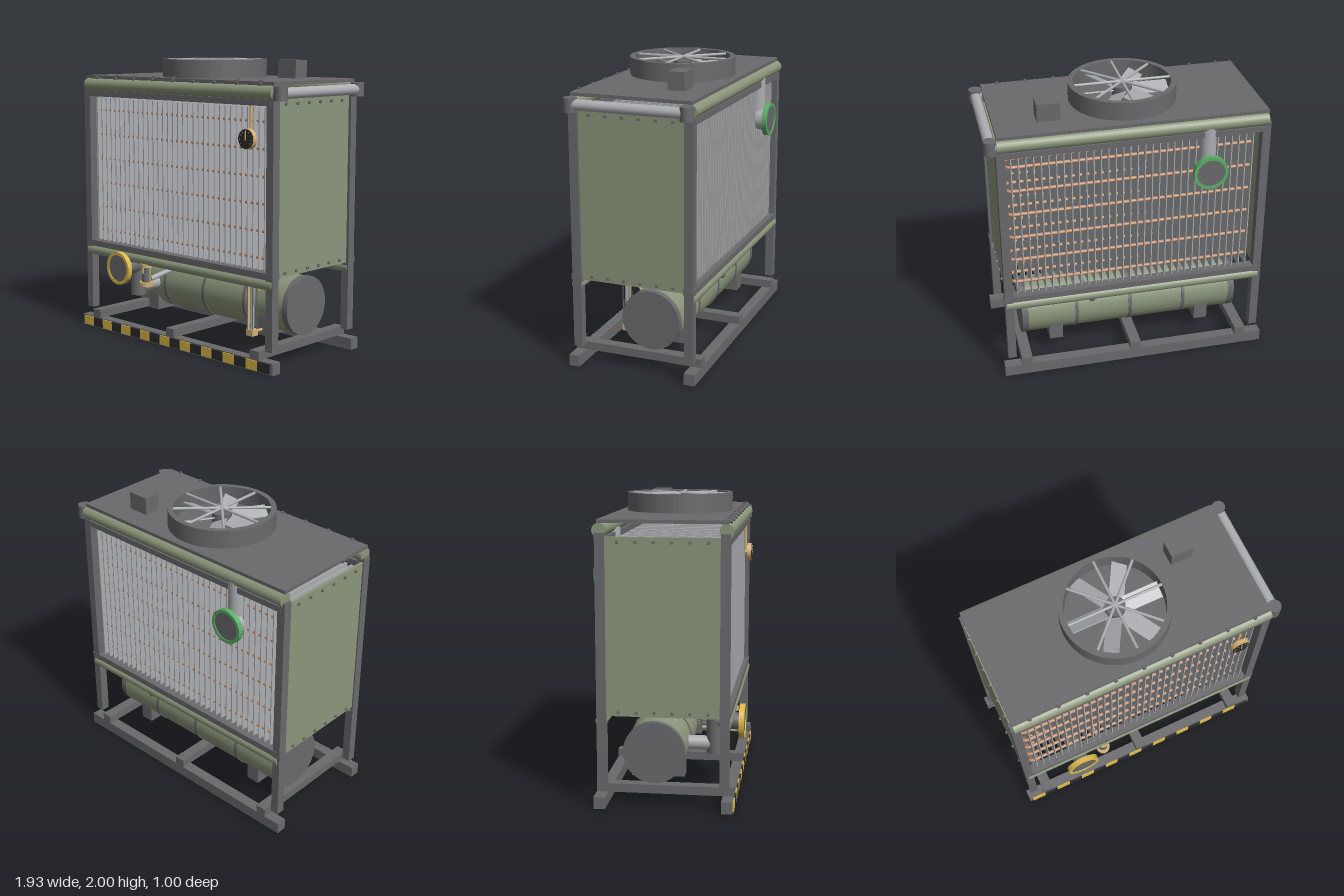
import * as THREE from 'three';

const mat = (name, color) => Object.assign(new THREE.MeshStandardMaterial({ color }), { name });
const steel = mat('dark steel', 0x6a6a6d);
const green = mat('olive green', 0x8b967b);
const zinc = mat('light grey metal', 0xacaeb2);
const copper = mat('copper', 0xc68e68);
const brass = mat('brass', 0xd2b274);
const yellow = mat('safety yellow', 0xdcba48);
const black = mat('black', 0x2d2d2e);
const valveGreen = mat('valve green', 0x5cac66);

const CX = -0.027; // middle of the cabinet along x

export function createModel() {
  const root = new THREE.Group();
  root.name = 'evaporativeCooler';

  const add = (name, geo, material, parent = root) => {
    const m = new THREE.Mesh(geo, material);
    m.name = name;
    parent.add(m);
    return m;
  };
  // box given by its limits
  const box = (name, material, x0, x1, y0, y1, z0, z1, parent) => {
    const m = add(name, new THREE.BoxGeometry(x1 - x0, y1 - y0, z1 - z0), material, parent);
    m.position.set((x0 + x1) / 2, (y0 + y1) / 2, (z0 + z1) / 2);
    return m;
  };
  // round bar from point a to point b
  const rod = (name, material, a, b, r, seg = 24, parent) => {
    const A = new THREE.Vector3(...a), B = new THREE.Vector3(...b);
    const d = B.clone().sub(A);
    const m = add(name, new THREE.CylinderGeometry(r, r, d.length(), seg), material, parent);
    m.position.copy(A).add(B).multiplyScalar(0.5);
    m.quaternion.setFromUnitVectors(new THREE.Vector3(0, 1, 0), d.normalize());
    return m;
  };
  // flat-sided ring, axis along z
  const ring = (ro, ri, depth) => {
    const s = new THREE.Shape().absarc(0, 0, ro, 0, Math.PI * 2);
    s.holes.push(new THREE.Path().absarc(0, 0, ri, 0, Math.PI * 2, true));
    return new THREE.ExtrudeGeometry(s, { depth, bevelEnabled: false, curveSegments: 32 });
  };

  // Skid
  box('frontSkidRail', steel, -0.97, 0.92, 0, 0.08, 0.38, 0.453);
  box('backSkidRail', steel, -0.97, 0.92, 0, 0.08, -0.45, -0.375);
  for (const x of [-0.812, CX, 0.762]) box('skidCrossBeam', steel, x - 0.038, x + 0.038, 0.08, 0.138, -0.45, 0.455);
  for (let i = 0; i < 18; i++) {
    const x = -0.945 + i * 0.1023;
    box('hazardStripe', i % 2 ? black : yellow, x, x + 0.1023, 0.008, 0.073, 0.453, 0.461);
  }

  // Legs, rails and headers
  for (const s of [1, -1]) {
    const zr = s * 0.397;
    for (const x of [-0.915, 0.862]) box('leg', steel, x - 0.029, x + 0.029, 0.14, 1.79, zr - 0.031, zr + 0.031);
    box('lowerRail', steel, -0.912, 0.895, 0.612, 0.655, zr - 0.035, zr + 0.035);
    box('upperRail', steel, -0.912, 0.865, 1.722, 1.762, zr - 0.035, zr + 0.035);
    rod('upperHeader', green, [-0.925, 1.805, s * 0.402], [0.882, 1.805, s * 0.402], 0.046);
    rod('lowerHeader', green, [-0.925, 0.578, s * 0.4], [0.882, 0.578, s * 0.4], 0.038);
    rod('headerElbow', steel, [0.92, 1.755, s * 0.395], [0.92, 1.848, s * 0.395], 0.045);
    rod('headerStub', zinc, [0.87, 1.803, s * 0.395], [0.92, 1.803, s * 0.395], 0.035);
  }
  rod('crossoverPipe', zinc, [0.92, 1.803, -0.395], [0.92, 1.803, 0.395], 0.036);

  // Side panels with bolts
  for (const [s, x] of [[1, 0.865], [-1, CX - 0.9]]) {
    box('sidePanel', green, x - 0.008, x + 0.008, 0.615, 1.765, -0.365, 0.368);
    for (const y of [0.642, 1.732]) for (let i = 0; i < 6; i++) {
      const z = 0.29 - i * 0.115;
      rod('panelBolt', steel, [x, y, z], [x + s * 0.018, y, z], 0.011, 8);
    }
  }

  // Coil: upright fins threaded by copper tubes joined by return bends
  const coil = new THREE.Group();
  coil.name = 'coil';
  root.add(coil);
  for (let i = 0; i < 34; i++) {
    const x = -0.835 + i * 0.0494;
    box('fin', zinc, x - 0.0035, x + 0.0035, 0.66, 1.71, -0.4, 0.4, coil);
  }
  const bendGeo = new THREE.TorusGeometry(0.06, 0.012, 8, 12, Math.PI);
  for (let i = 0; i < 6; i++) for (let j = 0; j < 7; j++) {
    const y = 0.735 + i * 0.1773, z = -0.36 + j * 0.12;
    rod('coilTube', copper, [CX - 0.81, y, z], [CX + 0.81, y, z], 0.012, 10, coil);
    if (j === 6) continue;
    const s = j % 2 ? -1 : 1;
    const bend = add('returnBend', bendGeo, copper, coil);
    bend.position.set(CX + s * 0.81, y, z + 0.06);
    bend.rotation.set(Math.PI / 2, 0, -s * Math.PI / 2);
  }

  // Top deck and control box
  box('deck', steel, -0.93, 0.88, 1.85, 1.873, -0.415, 0.415);
  for (let i = 0; i < 9; i++) {
    const x = -0.81 + i * 0.197;
    rod('deckBolt', steel, [x, 1.858, 0.4], [x, 1.858, 0.428], 0.012, 8);
    rod('deckBoltTop', steel, [x, 1.87, 0.405], [x, 1.883, 0.405], 0.011, 8);
  }
  box('controlBox', steel, 0.44, 0.595, 1.873, 1.995, -0.255, -0.138);

  // Fan
  const fan = new THREE.Group();
  fan.name = 'fan';
  fan.position.set(CX, 0, 0);
  root.add(fan);
  const shroud = add('fanShroud', ring(0.364, 0.327, 0.125), steel, fan);
  shroud.rotation.x = -Math.PI / 2;
  shroud.position.y = 1.873;
  rod('fanHub', steel, [0, 1.873, 0], [0, 1.965, 0], 0.068, 24, fan);
  for (let i = 0; i < 6; i++) {
    const arm = new THREE.Group();
    arm.name = 'fanBladeArm';
    arm.rotation.y = i * Math.PI / 3;
    fan.add(arm);
    const blade = add('fanBlade', new THREE.BoxGeometry(0.25, 0.008, 0.108), zinc, arm);
    blade.position.set(0.19, 1.925, 0);
    blade.rotation.x = 0.42;
  }
  for (let i = 0; i < 4; i++) {
    const c = Math.cos(i * Math.PI / 4) * 0.345, s = Math.sin(i * Math.PI / 4) * 0.345;
    rod('guardBar', zinc, [-c, 1.988, -s], [c, 1.988, s], 0.01, 8, fan);
  }

  // Receiver tank on saddles
  const ty = 0.342, tz = -0.077;
  const tankSlice = (name, m, x0, x1, r) => rod(name, m, [x0, ty, tz], [x1, ty, tz], r, 40);
  tankSlice('tank', green, -0.77, 0.72, 0.201);
  tankSlice('tankEnd', steel, -0.81, -0.765, 0.205);
  tankSlice('tankEnd', steel, 0.715, 0.76, 0.205);
  for (const x of [-0.42, CX, 0.366]) tankSlice('tankBand', steel, x - 0.012, x + 0.012, 0.206);
  for (const x of [-0.566, 0.517]) box('tankSaddle', steel, x - 0.049, x + 0.049, 0.125, 0.3, -0.255, 0.102);

  // Flanged connection; dir is the facing along z
  const flange = (name, color, x, y, z, dir) => {
    const g = new THREE.Group();
    g.name = name;
    g.position.set(x, y, z);
    if (dir < 0) g.rotation.y = Math.PI;
    root.add(g);
    add('flangeRim', ring(0.118, 0.096, 0.036), color, g);
    rod('flangeFace', steel, [0, 0, 0.004], [0, 0, 0.03], 0.098, 32, g);
  };
  // Suction side: yellow flange, strainer, stub into the tank
  flange('inletFlange', yellow, -0.52, 0.5, 0.464, 1);
  rod('inletNeck', steel, [-0.52, 0.5, 0.29], [-0.52, 0.5, 0.47], 0.057);
  rod('strainer', steel, [-0.52, 0.28, 0.298], [-0.52, 0.56, 0.298], 0.057);
  rod('tankStub', zinc, [-0.52, 0.342, 0.298], [-0.52, 0.342, 0.08], 0.048);
  // Discharge side: green flange on the back
  flange('outletFlange', valveGreen, -0.52, 1.487, -0.46, -1);
  rod('outletNeck', zinc, [-0.52, 1.487, -0.4], [-0.52, 1.487, -0.465], 0.08);
  rod('outletRiser', zinc, [-0.52, 1.487, -0.392], [-0.52, 1.79, -0.392], 0.055);

  // Relief valve in a brass cage
  const vx = -0.322, vz = 0.4;
  rod('valveBase', brass, [vx, 0.39, vz], [vx, 0.418, vz], 0.05);
  rod('valveTop', brass, [vx, 0.525, vz], [vx, 0.55, vz], 0.042);
  rod('valveBody', steel, [vx, 0.418, vz], [vx, 0.475, vz], 0.032);
  rod('valveStem', steel, [vx, 0.475, vz], [vx, 0.53, vz], 0.014, 12);
  for (const dx of [-0.036, 0.036]) rod('valveCageBar', brass, [vx + dx, 0.41, vz], [vx + dx, 0.53, vz], 0.006, 8);
  rod('valvePipe', zinc, [vx, 0.432, 0.36], [vx, 0.485, 0.05], 0.018, 16);

  // Return pipe from the tank to the back header
  rod('returnPipe', zinc, [0.28, 0.505, -0.05], [0.28, 0.565, -0.4], 0.02, 16);
  const joint = add('returnJoint', new THREE.SphereGeometry(0.028, 16, 12), steel);
  joint.position.set(0.28, 0.552, -0.405);

  // Level gauge
  const gx = 0.515, gz = 0.2;
  box('gaugeTopFitting', brass, gx - 0.03, gx + 0.03, 0.515, 0.56, gz - 0.028, gz + 0.028);
  box('gaugeBottomFitting', brass, gx - 0.03, gx + 0.03, 0.143, 0.188, gz - 0.028, gz + 0.028);
  rod('gaugeGlass', zinc, [gx, 0.18, gz], [gx, 0.52, gz], 0.016, 16);
  for (const dx of [-0.024, 0.024]) for (const dz of [-0.022, 0.022])
    rod('gaugeGuard', steel, [gx + dx, 0.18, gz + dz], [gx + dx, 0.52, gz + dz], 0.004, 8);
  box('gaugeScale', brass, gx - 0.037, gx - 0.029, 0.18, 0.52, gz - 0.01, gz + 0.01);
  rod('gaugeTopLine', brass, [gx - 0.03, 0.54, 0.19], [gx - 0.03, 0.42, 0.09], 0.01, 10);
  rod('gaugeBottomLine', brass, [gx, 0.165, gz], [gx, 0.165, 0.0], 0.01, 10);

  // Pressure dial with needle and tick marks
  const dial = new THREE.Group();
  dial.name = 'pressureDial';
  dial.position.set(0.685, 1.508, 0);
  root.add(dial);
  rod('dialCase', brass, [0, 0, 0.425], [0, 0, 0.457], 0.067, 32, dial);
  rod('dialFace', black, [0, 0, 0.456], [0, 0, 0.461], 0.063, 32, dial);
  rod('dialLine', brass, [0, 0, 0.41], [0, 0.225, 0.41], 0.009, 10, dial);
  rod('dialSocket', brass, [0, 0, 0.405], [0, 0, 0.43], 0.016, 12, dial);
  for (let i = 0; i < 9; i++) {
    const a = -0.6 + i * 0.54;
    const tick = box('dialTick', brass, -0.002, 0.002, -0.005, 0.005, 0.461, 0.463, dial);
    tick.position.x = Math.cos(a) * 0.05;
    tick.position.y = Math.sin(a) * 0.05;
    tick.rotation.z = a - Math.PI / 2;
  }
  box('dialNeedle', brass, -0.004, 0.004, -0.008, 0.045, 0.461, 0.464, dial);

  return root;
}
